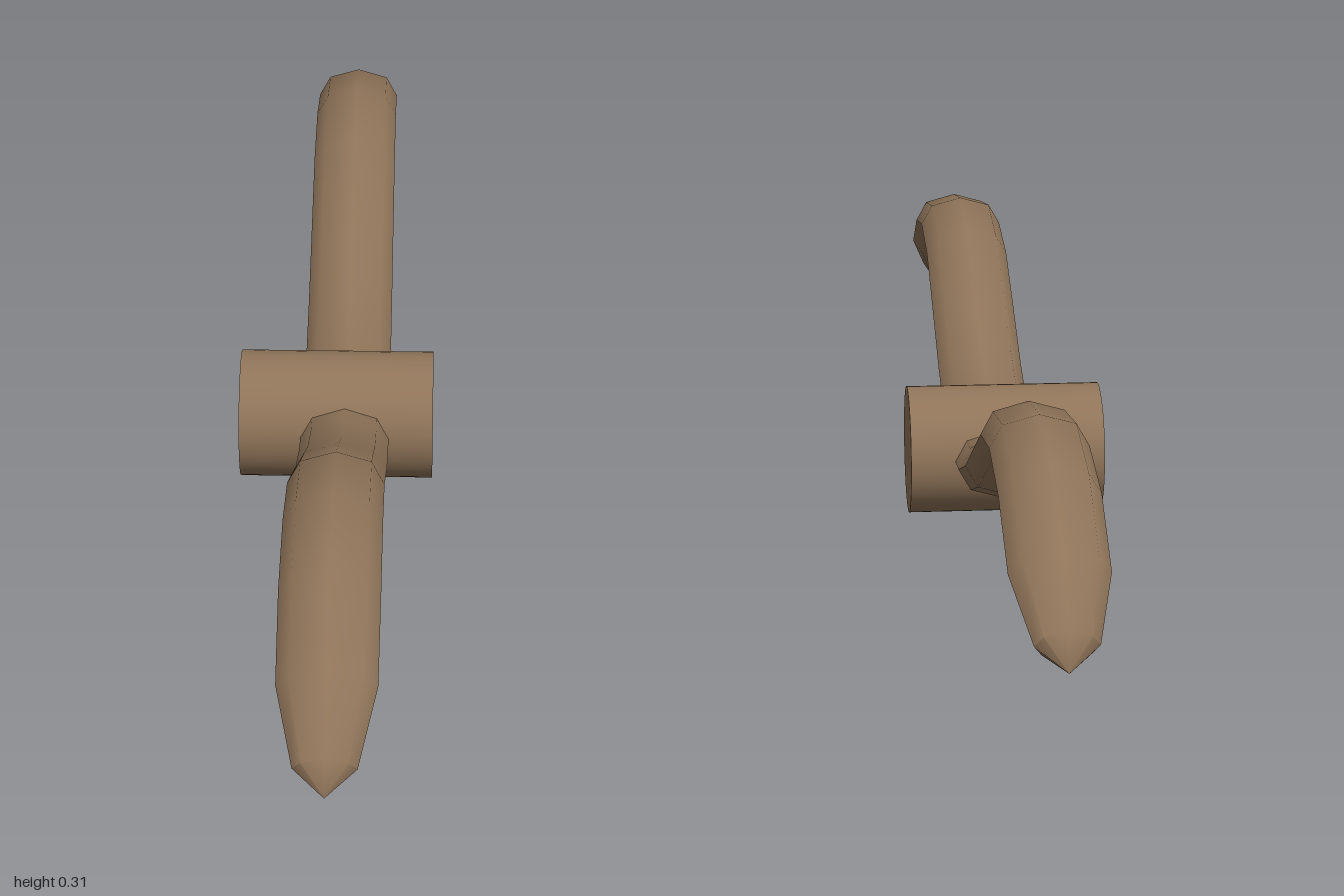
import * as THREE from 'three';
import { mergeVertices, toCreasedNormals } from 'three/addons/utils/BufferGeometryUtils.js';

// centre line stations: z, y, width scale, height scale
const STATIONS = [
  [0, 0.085, 1, 1], [0.135, 0.097, 1, 1], [0.26, 0.137, 1, 1], [0.385, 0.193, 1, 1],
  [0.515, 0.25, 1, 1], [0.645, 0.269, 1, 1], [0.775, 0.248, 1, 1],
  [0.89, 0.19, 0.98, 0.9], [0.975, 0.133, 0.62, 0.6],
];
// eight-sided cross-section: x, height
const SECTION = [
  [0, 0.04], [0.044, 0.028], [0.06, 0], [0.044, -0.028],
  [0, -0.04], [-0.044, -0.028], [-0.06, 0], [-0.044, 0.028],
];

function armGeometry() {
  // full bar from the back tip to the front tip
  const back = STATIONS.slice(1).reverse().map(([z, y, w, h]) => [-z, y, w, h]);
  const path = [...back, ...STATIONS];
  const n = SECTION.length;
  const positions = [];
  const index = [];
  path.forEach(([z, y, w, h], i) => {
    const a = path[Math.max(i - 1, 0)];
    const b = path[Math.min(i + 1, path.length - 1)];
    const t = new THREE.Vector2(b[0] - a[0], b[1] - a[1]).normalize();
    for (const [sx, sy] of SECTION) {
      positions.push(sx * w, y + sy * h * t.x, z - sy * h * t.y);
    }
  });
  for (let i = 0; i < path.length - 1; i++) {
    for (let j = 0; j < n; j++) {
      const k = (j + 1) % n;
      const a = i * n + j, b = i * n + k, c = a + n, d = b + n;
      index.push(a, c, b, b, c, d);
    }
  }
  // blunt pointed tips
  const first = positions.length / 3;
  positions.push(0, 0.108, -0.997, 0, 0.108, 0.997);
  const last = (path.length - 1) * n;
  for (let j = 0; j < n; j++) {
    const k = (j + 1) % n;
    index.push(first, j, k, first + 1, last + k, last + j);
  }
  const geometry = new THREE.BufferGeometry();
  geometry.setAttribute('position', new THREE.Float32BufferAttribute(positions, 3));
  geometry.setIndex(index);
  return toCreasedNormals(mergeVertices(geometry), 0.95);
}

export function createModel() {
  const model = new THREE.Group();
  const brown = new THREE.MeshStandardMaterial({ color: 0x8f7459 });
  brown.name = 'brown';

  // crosswise hub
  const hub = new THREE.Mesh(new THREE.CylinderGeometry(0.087, 0.087, 0.264, 48), brown);
  hub.name = 'hub';
  hub.rotation.z = Math.PI / 2;
  hub.position.set(0, 0.087, 0.006);
  model.add(hub);

  // curved bar passing through the hub
  const bar = new THREE.Mesh(armGeometry(), brown);
  bar.name = 'curvedBar';
  bar.position.x = 0.012;
  model.add(bar);

  return model;
}
